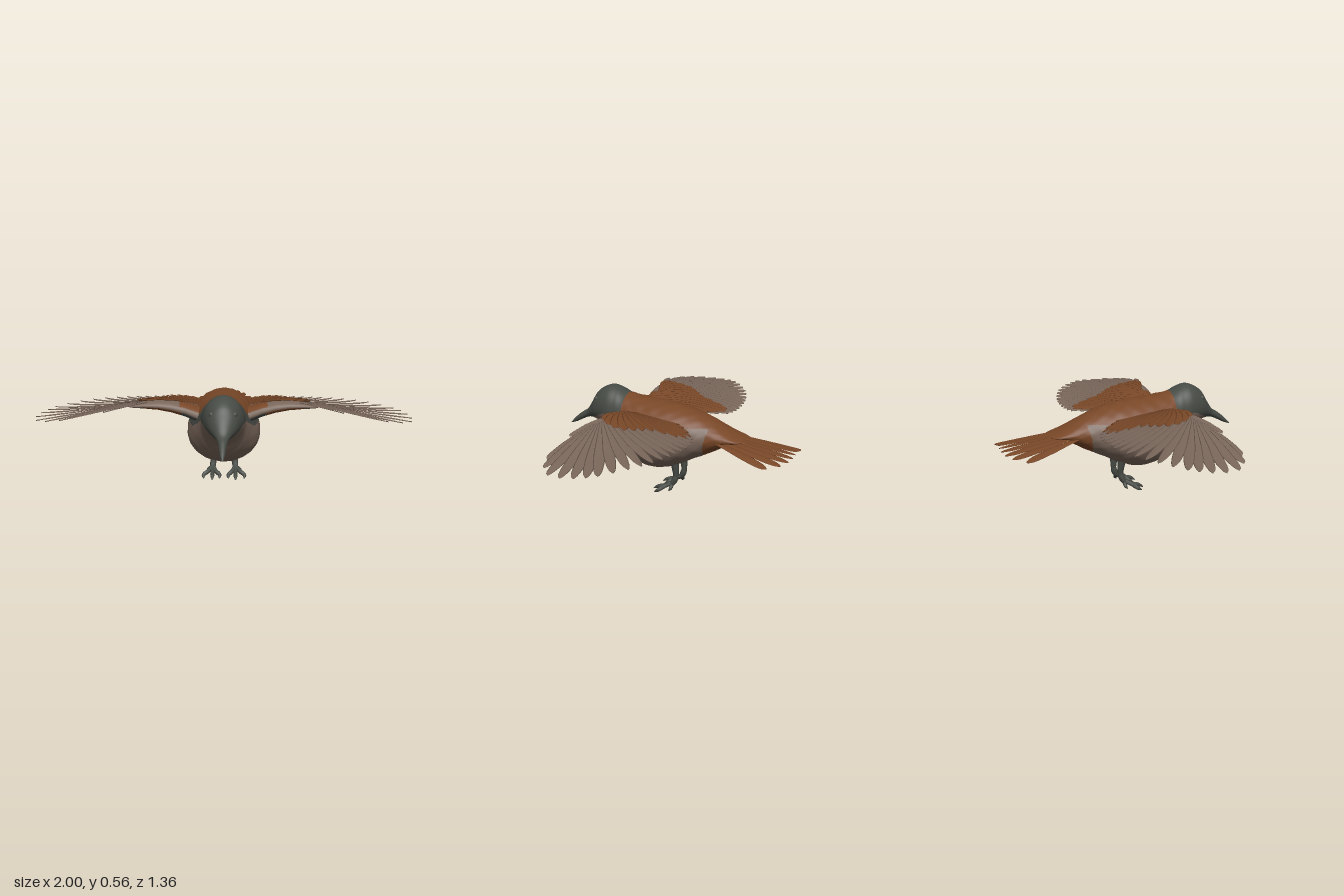
import * as THREE from 'three';
import { mergeVertices } from 'three/addons/utils/BufferGeometryUtils.js';

const paint = (name, color) => {
  const m = new THREE.MeshStandardMaterial({ color });
  m.name = name;
  return m;
};

// piecewise interpolation through [x, y] pairs
function interp(table, x) {
  if (x <= table[0][0]) return table[0][1];
  for (let i = 1; i < table.length; i++) {
    const [x0, y0] = table[i - 1], [x1, y1] = table[i];
    if (x <= x1) return y0 + (y1 - y0) * (x - x0) / (x1 - x0);
  }
  return table[table.length - 1][1];
}

// closed skin: at(u, v) gives points, pick(centre, v) the material index
function skin(nu, nv, at, pick, flip = false) {
  const pts = [], faces = [[], [], []];
  for (let i = 0; i <= nu; i++)
    for (let j = 0; j <= nv; j++) pts.push(at(i / nu, (j % nv) / nv));
  const add = (a, b, c, v) => {
    const mid = pts[a].clone().add(pts[b]).add(pts[c]).divideScalar(3);
    faces[pick ? pick(mid, v) : 0].push(...(flip ? [a, c, b] : [a, b, c]));
  };
  for (let i = 0; i < nu; i++)
    for (let j = 0; j < nv; j++) {
      const a = i * (nv + 1) + j, b = a + nv + 1, v = (j + 0.5) / nv;
      add(a, b, a + 1, v);
      add(b, b + 1, a + 1, v);
    }
  const geo = new THREE.BufferGeometry().setFromPoints(pts);
  geo.setIndex(faces.flat());
  let start = 0;
  faces.forEach((f, k) => {
    if (f.length) geo.addGroup(start, f.length, k);
    start += f.length;
  });
  const merged = mergeVertices(geo, 1e-5);
  merged.computeVertexNormals();
  return merged;
}

// wing surface height, from the arched leading edge down to the trailing edge
const RIDGE = [[0.08, 0.435], [0.14, 0.455], [0.2, 0.475], [0.27, 0.488], [0.34, 0.493], [0.42, 0.488],
  [0.52, 0.473], [0.65, 0.45], [0.8, 0.42], [1, 0.383]];
const wingY = (x, z) => THREE.MathUtils.lerp(interp(RIDGE, Math.abs(x)), 0.387,
  THREE.MathUtils.clamp((0.26 - z) / 0.47, 0, 1));
const tailY = (x, z) => 0.352 + (z + 0.33) * 0.12 - 1.3 * x * x;

// flat blade lying on a height surface; root and tip are [x, z], side mirrors it
function feather(root, tip, width, surface, lift, roll, point = 3, side = 1) {
  const dx = tip[0] - root[0], dz = tip[1] - root[1], len = Math.hypot(dx, dz);
  return skin(16, 10, (t, v) => {
    const u = 1 - (1 - t) ** 1.7, a = v * Math.PI * 2, c = Math.cos(a);
    const w = width * (0.55 + 0.45 * Math.min(1, u * 1.8)) * Math.sqrt(Math.max(0, 1 - u ** (point * 2)));
    const x = root[0] + dx * u - dz / len * w * c;
    const z = root[1] + dz * u + dx / len * w * c;
    const y = surface(x, z) + lift + roll * c + 0.0025 * Math.sin(a) * (t < 1 ? 1 : 0);
    return new THREE.Vector3(side * x, y, z);
  }, null, side < 0);
}

const curve2 = (pts) => new THREE.SplineCurve(pts.map((p) => new THREE.Vector2(...p)));

export function createModel() {
  const rust = paint('rust plumage', 0x784727);
  const taupe = paint('taupe plumage', 0x79665a);
  const slate = paint('slate grey', 0x474b45);
  const model = new THREE.Group();
  model.name = 'bird';
  const put = (parent, name, geo, mat) => {
    const m = new THREE.Mesh(geo, mat);
    m.name = name;
    parent.add(m);
    return m;
  };

  // body, head and beak in one skin: z, top, bottom, widest height, half width
  const rows = [
    [0.675, 0.309, 0.303, 0.306, 0.004], [0.64, 0.345, 0.315, 0.33, 0.014], [0.6, 0.378, 0.335, 0.357, 0.02],
    [0.56, 0.405, 0.353, 0.38, 0.029], [0.525, 0.455, 0.357, 0.405, 0.05], [0.48, 0.523, 0.345, 0.43, 0.08],
    [0.41, 0.56, 0.315, 0.43, 0.106], [0.35, 0.55, 0.245, 0.4, 0.116], [0.3, 0.526, 0.195, 0.36, 0.136],
    [0.2, 0.51, 0.14, 0.3, 0.183], [0.1, 0.502, 0.125, 0.285, 0.196], [0, 0.49, 0.15, 0.295, 0.185],
    [-0.1, 0.468, 0.198, 0.315, 0.152], [-0.2, 0.43, 0.245, 0.335, 0.118], [-0.3, 0.38, 0.3, 0.34, 0.1],
    [-0.36, 0.353, 0.322, 0.338, 0.085], [-0.41, 0.338, 0.332, 0.335, 0.05]];
  const spline = (a, b) => new THREE.CatmullRomCurve3(
    rows.map((r) => new THREE.Vector3(r[0], r[a], r[b])), false, 'catmullrom', 0.5);
  const heights = spline(1, 2), widths = spline(3, 4);
  const bodyGeo = skin(180, 120, (u, v) => {
    const h = heights.getPoint(u), w = widths.getPoint(u), a = v * Math.PI * 2;
    const s = Math.sin(a), half = s > 0 ? h.y - w.y : w.y - h.z;
    const lump = h.x < 0.3 && h.x > -0.3 ? 1 + 0.008 * Math.sin(h.x * 70 + a * 3) * Math.sin(a * 11) : 1;
    return new THREE.Vector3(w.z * Math.cos(a) * lump, w.y + half * s * lump, h.x);
  }, (p) => {
    // lower edge of the grey hood and shoulder patch
    const hood = interp([[0.04, 0.395], [0.07, 0.348], [0.12, 0.345], [0.16, 0.36], [0.24, 0.354], [0.3, 0.385],
      [0.34, 0.412], [0.42, 0.415], [0.5, 0.375], [0.54, 0.34], [0.55, 0]], p.z);
    if (p.z > 0.3) return p.y > hood ? 2 : 1;
    if (p.z < -0.17 - (p.y - 0.24) * 0.25 || p.y > (p.z > 0.04 ? 0.43 : 0.4)) return 0;
    return p.z > 0.04 && p.y > hood ? 2 : 1;
  });
  put(model, 'body', bodyGeo, [rust, taupe, slate]);

  // tail fan, centre feathers on top
  const tail = new THREE.Group();
  tail.name = 'tail';
  model.add(tail);
  for (let i = -5; i <= 5; i++) {
    const t = i / 5, k = Math.abs(t);
    put(tail, 'tailFeather', feather([t * 0.08, -0.22], [t * 0.184, -0.68 + 0.11 * k ** 4],
      0.026, tailY, -0.022 * k, 0.003 * Math.sign(i), 5), rust);
  }

  for (const side of [1, -1]) {
    const label = side > 0 ? 'left' : 'right';
    const wing = new THREE.Group();
    wing.name = label + 'Wing';
    model.add(wing);

    // wing arm
    put(wing, 'wingArm', skin(48, 32, (u, v) => {
      const x = 0.06 + 0.44 * u, a = v * Math.PI * 2, end = Math.sqrt(1 - u ** 6);
      const ry = (0.046 - 0.032 * u) * end, rz = (0.07 - 0.035 * u) * end;
      return new THREE.Vector3(side * x, interp(RIDGE, x) - 0.046 + 0.032 * u + ry * Math.sin(a),
        0.215 + 0.04 * u + rz * Math.cos(a));
    }, (p, v) => {
      const x = Math.abs(p.x), s = Math.sin(v * Math.PI * 2);
      if (s < -0.2) return x < 0.22 ? 2 : x < 0.42 ? 0 : 1;
      return x < 0.23 && s > 0.55 ? 0 : 1;
    }, side < 0), [rust, taupe, slate]);

    // a fan of overlapping feathers from a root curve to a tip curve
    const fan = (name, count, roots, tips, w0, w1, lift, mat) => {
      const rc = curve2(roots), tc = curve2(tips);
      for (let i = 0; i < count; i++) {
        const t = i / (count - 1), r = rc.getPoint(t), e = tc.getPoint(t);
        put(wing, name, feather([r.x, r.y], [e.x, e.y], w0 + (w1 - w0) * t, wingY,
          lift + i * 0.0004, 0.003, 3, side), mat);
      }
    };
    fan('flightFeather', 21,
      [[0.46, 0.265], [0.45, 0.25], [0.43, 0.235], [0.38, 0.23], [0.3, 0.22], [0.22, 0.21], [0.14, 0.18]],
      [[0.85, 0.328], [0.97, 0.275], [1, 0.17], [0.97, 0.075], [0.92, 0.005], [0.82, -0.07], [0.72, -0.13],
        [0.62, -0.17], [0.53, -0.195], [0.45, -0.207], [0.37, -0.21], [0.3, -0.205], [0.24, -0.18], [0.17, -0.1]],
      0.027, 0.036, -0.006, taupe);
    fan('thumbFeather', 2, [[0.42, 0.27], [0.4, 0.265]], [[0.62, 0.333], [0.56, 0.315]], 0.016, 0.018, -0.004, taupe);
    fan('shoulderFeather', 14,
      [[0.27, 0.225], [0.23, 0.22], [0.18, 0.22], [0.13, 0.2], [0.09, 0.18]],
      [[0.42, 0.245], [0.455, 0.19], [0.45, 0.12], [0.41, 0.06], [0.36, 0.01], [0.33, -0.08],
        [0.305, -0.16], [0.25, -0.175], [0.19, -0.12], [0.13, -0.06]], 0.032, 0.036, 0.006, rust);

    // eye
    const eye = put(model, label + 'Eye', new THREE.SphereGeometry(0.014, 16, 12), slate);
    eye.position.set(side * 0.058, 0.484, 0.475);

    // leg and toes
    const leg = new THREE.Group();
    leg.name = label + 'Leg';
    model.add(leg);
    const limb = (name, pts, r) => {
      const path = new THREE.CatmullRomCurve3(pts.map(([x, y, z]) => new THREE.Vector3(side * x, y, z)));
      const geo = new THREE.TubeGeometry(path, 20, 1, 10), pos = geo.attributes.position;
      const p = new THREE.Vector3();
      // taper the tube along its length
      for (let k = 0; k < pos.count; k++) {
        const u = Math.floor(k / 11) / 20, c = path.getPointAt(u);
        p.fromBufferAttribute(pos, k).sub(c).multiplyScalar(interp(r, u)).add(c);
        pos.setXYZ(k, p.x, p.y, p.z);
      }
      geo.computeVertexNormals();
      put(leg, name, geo, slate);
    };
    limb('shank', [[0.062, 0.19, 0], [0.06, 0.14, -0.005], [0.058, 0.09, -0.006], [0.062, 0.055, 0.008], [0.064, 0.034, 0.035]],
      [[0, 0.026], [0.35, 0.019], [0.55, 0.015], [0.65, 0.018], [0.85, 0.016], [1, 0.008]]);
    for (const [x, z] of [[0.025, 0.1], [0.064, 0.125], [0.112, 0.1]])
      limb('toe', [[0.062, 0.05, 0.015], [(x + 0.064) / 2, 0.031, 0.055], [x, 0.018, z - 0.025], [x, 0.004, z]],
        [[0, 0.013], [0.3, 0.011], [0.6, 0.012], [0.8, 0.01], [1, 0.002]]);
    limb('hindToe', [[0.062, 0.045, 0.015], [0.085, 0.03, 0.012], [0.095, 0.014, 0.022]],
      [[0, 0.012], [0.7, 0.009], [1, 0.002]]);
  }
  return model;
}
